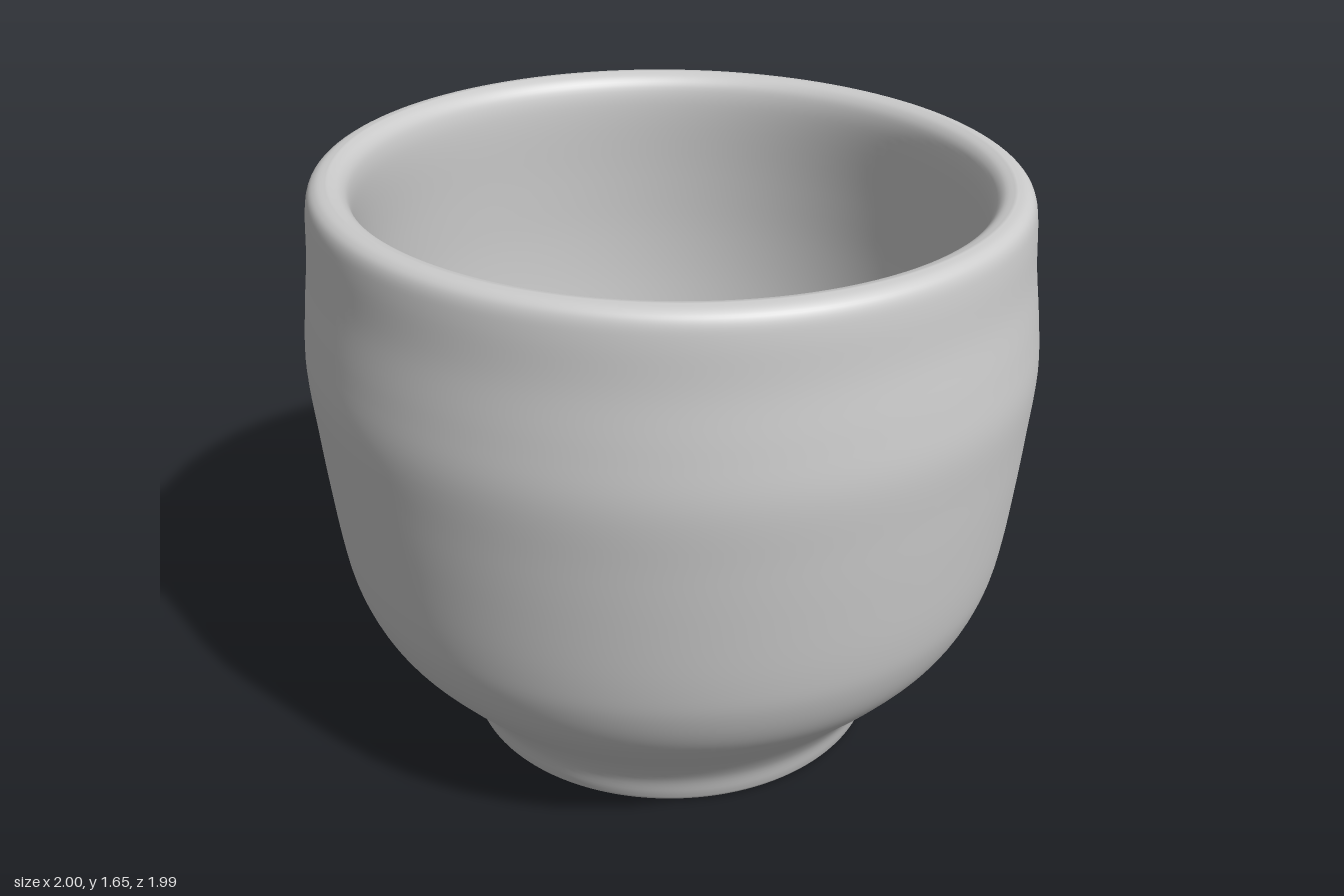
import * as THREE from 'three';
import { mergeVertices } from 'three/addons/utils/BufferGeometryUtils.js';

// Outer wall, from the edge of the foot up to the crown of the rim
const OUTER = [
  [0.565, 0.005], [0.585, 0.015], [0.597, 0.04], [0.622, 0.11], [0.69, 0.2], [0.79, 0.3],
  [0.872, 0.4], [0.922, 0.51], [0.948, 0.63], [0.97, 0.82], [0.985, 0.98], [0.998, 1.15],
  [0.987, 1.29], [0.97, 1.43], [0.962, 1.55], [0.952, 1.605], [0.93, 1.628], [0.9, 1.634],
];

// Inner wall, from the crown of the rim down to the middle of the floor
const INNER = [
  [0.9, 1.634], [0.868, 1.622], [0.846, 1.585], [0.84, 1.5], [0.85, 1.3], [0.855, 1.1],
  [0.845, 0.9], [0.815, 0.68], [0.75, 0.5], [0.64, 0.36], [0.48, 0.265], [0.25, 0.215], [0, 0.205],
];

const toVectors = (list) => list.map(([r, y]) => new THREE.Vector2(r, y));
const smooth = (list, n) => new THREE.SplineCurve(toVectors(list)).getPoints(n);

export function createModel() {
  const group = new THREE.Group();
  group.name = 'cup';

  // One closed profile: flat foot, outer wall, rounded rim, inner bowl
  const foot = toVectors([[0, 0.005], [0.3, 0.005], [0.53, 0.005]]);
  const profile = [...foot, ...smooth(OUTER, 90), ...smooth(INNER, 60).slice(1)];
  profile.forEach((p) => { p.x = Math.max(p.x, 0); });

  let geometry = new THREE.LatheGeometry(profile, 128);

  // Hand-thrown irregularity: sloping rim, foot set a little off centre
  const pos = geometry.attributes.position;
  for (let i = 0; i < pos.count; i++) {
    const x = pos.getX(i), y = pos.getY(i), z = pos.getZ(i);
    const lift = THREE.MathUtils.smoothstep(y, 0.6, 1.6);
    const low = 1 - THREE.MathUtils.smoothstep(y, 0, 0.45);
    pos.setXYZ(i,
      x - 0.014 * low,
      y - 0.018 * x * lift + 0.005 * x * low,
      z * 0.996 + 0.008 * low - 0.005 * lift);
  }

  // Weld the seam so shading stays smooth all round
  geometry.deleteAttribute('uv');
  geometry.deleteAttribute('normal');
  geometry = mergeVertices(geometry, 1e-5);
  geometry.computeVertexNormals();

  const body = new THREE.Mesh(geometry, new THREE.MeshStandardMaterial({ color: 0xcccccc }));
  body.name = 'cupBody';
  group.add(body);
  return group;
}
